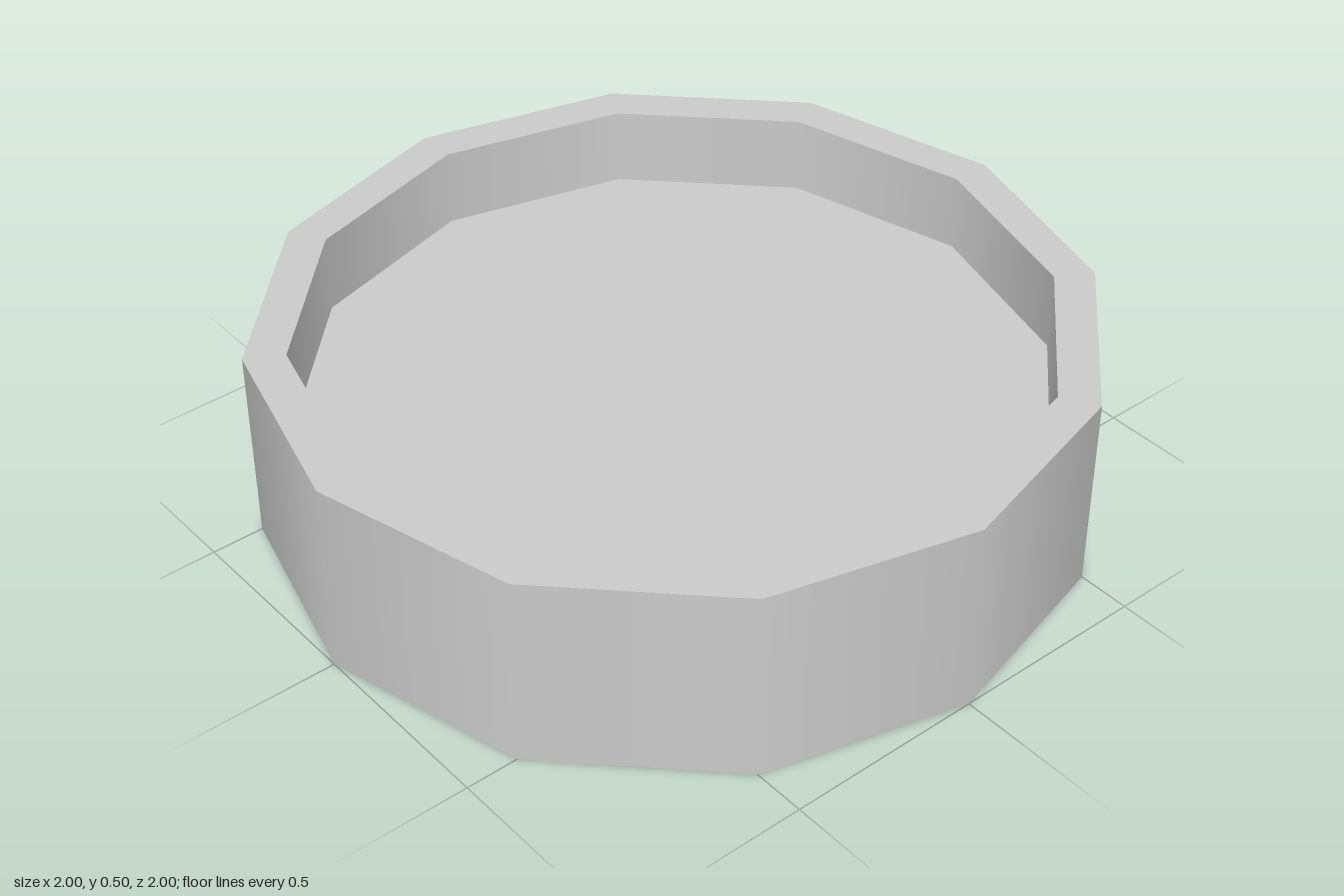
import * as THREE from 'three';
import { mergeGeometries } from 'three/addons/utils/BufferGeometryUtils.js';

const SIDES = 12;
const OUTER = 1, INNER = 0.9, HEIGHT = 0.5;
const FLOOR_TOP = 0.3, FLOOR_BOTTOM = 0.01;

// Revolve each profile edge on its own: smooth around, sharp at the rims
function revolve(profile) {
  const bands = [];
  for (let i = 0; i < profile.length - 1; i++) {
    const ends = [profile[i], profile[i + 1]].map(([r, y]) => new THREE.Vector2(r, y));
    bands.push(new THREE.LatheGeometry(ends, SIDES));
  }
  return mergeGeometries(bands);
}

export function createModel() {
  const model = new THREE.Group();
  model.name = 'roundTray';
  const material = new THREE.MeshStandardMaterial({ color: 0xcccccc });

  // Twelve-sided wall: outside, top rim, inside, bottom rim
  const wall = new THREE.Mesh(revolve([
    [OUTER, 0], [OUTER, HEIGHT], [INNER, HEIGHT], [INNER, 0], [OUTER, 0],
  ]), material);
  wall.name = 'wall';
  model.add(wall);

  // Thick floor, set well below the rim and slightly above the underside
  const thickness = FLOOR_TOP - FLOOR_BOTTOM;
  const floor = new THREE.Mesh(new THREE.CylinderGeometry(INNER, INNER, thickness, SIDES), material);
  floor.position.y = FLOOR_BOTTOM + thickness / 2;
  floor.name = 'floor';
  model.add(floor);

  return model;
}
